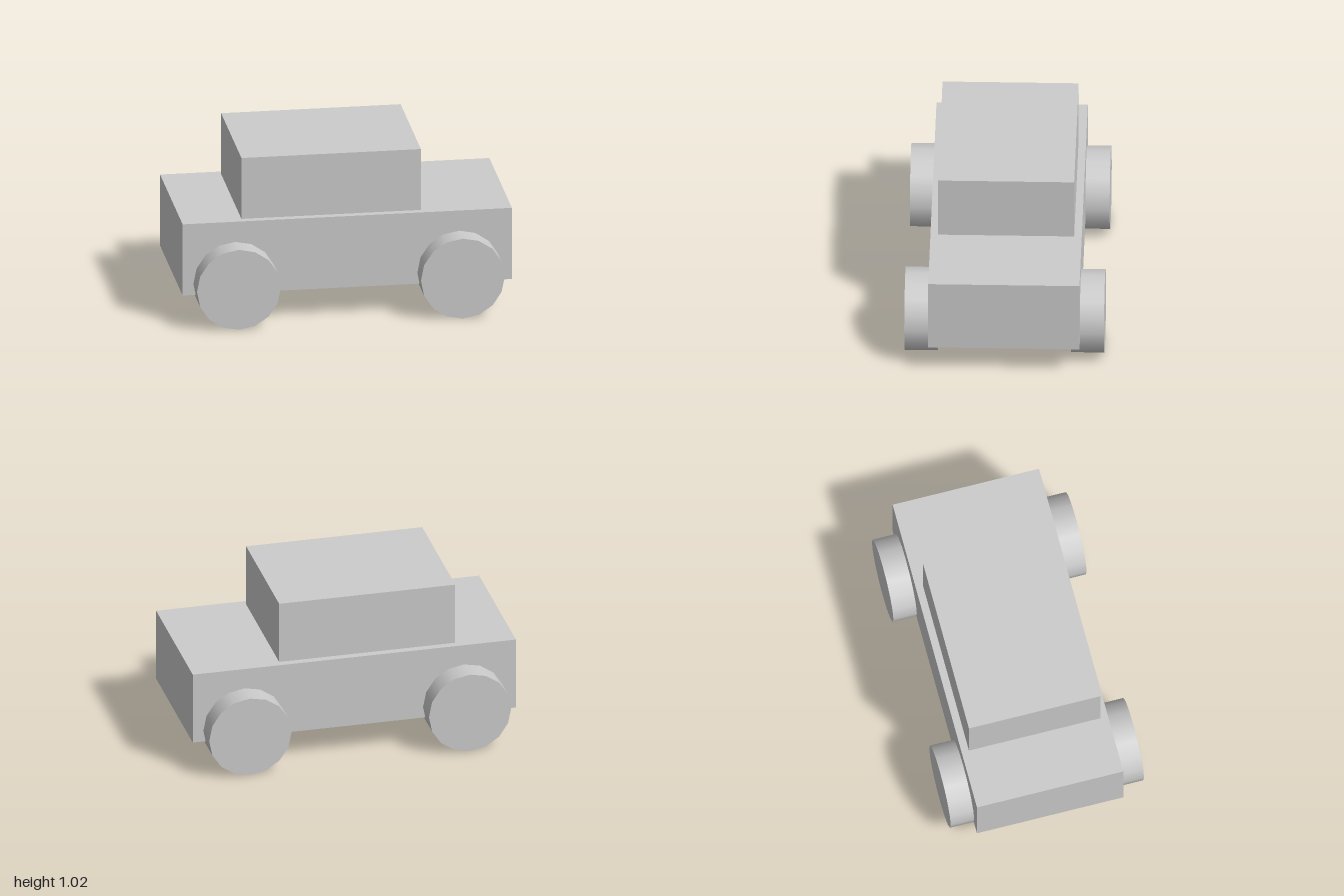
import * as THREE from 'three';

export function createModel() {
  const car = new THREE.Group();
  car.name = 'toyCar';
  const material = new THREE.MeshStandardMaterial({ color: 0xcccccc });

  const add = (name, geometry, x, y, z) => {
    const mesh = new THREE.Mesh(geometry, material);
    mesh.name = name;
    mesh.position.set(x, y, z);
    car.add(mesh);
  };

  // Lower body and the cabin, set slightly back towards -x
  add('body', new THREE.BoxGeometry(2, 0.453, 0.909), 0, 0.411, 0);
  add('cabin', new THREE.BoxGeometry(1.09, 0.388, 0.818), -0.091, 0.831, 0);

  // Four wheels, partly sunk into the body, axles along z
  const wheel = new THREE.CylinderGeometry(0.2545, 0.2545, 0.2, 16).rotateX(Math.PI / 2);
  for (const [end, x] of [['Left', 0.68], ['Right', -0.68]]) {
    for (const [side, z] of [['front', 0.5], ['back', -0.5]]) {
      add(`${side}${end}Wheel`, wheel, x, 0.2545, z);
    }
  }
  return car;
}
